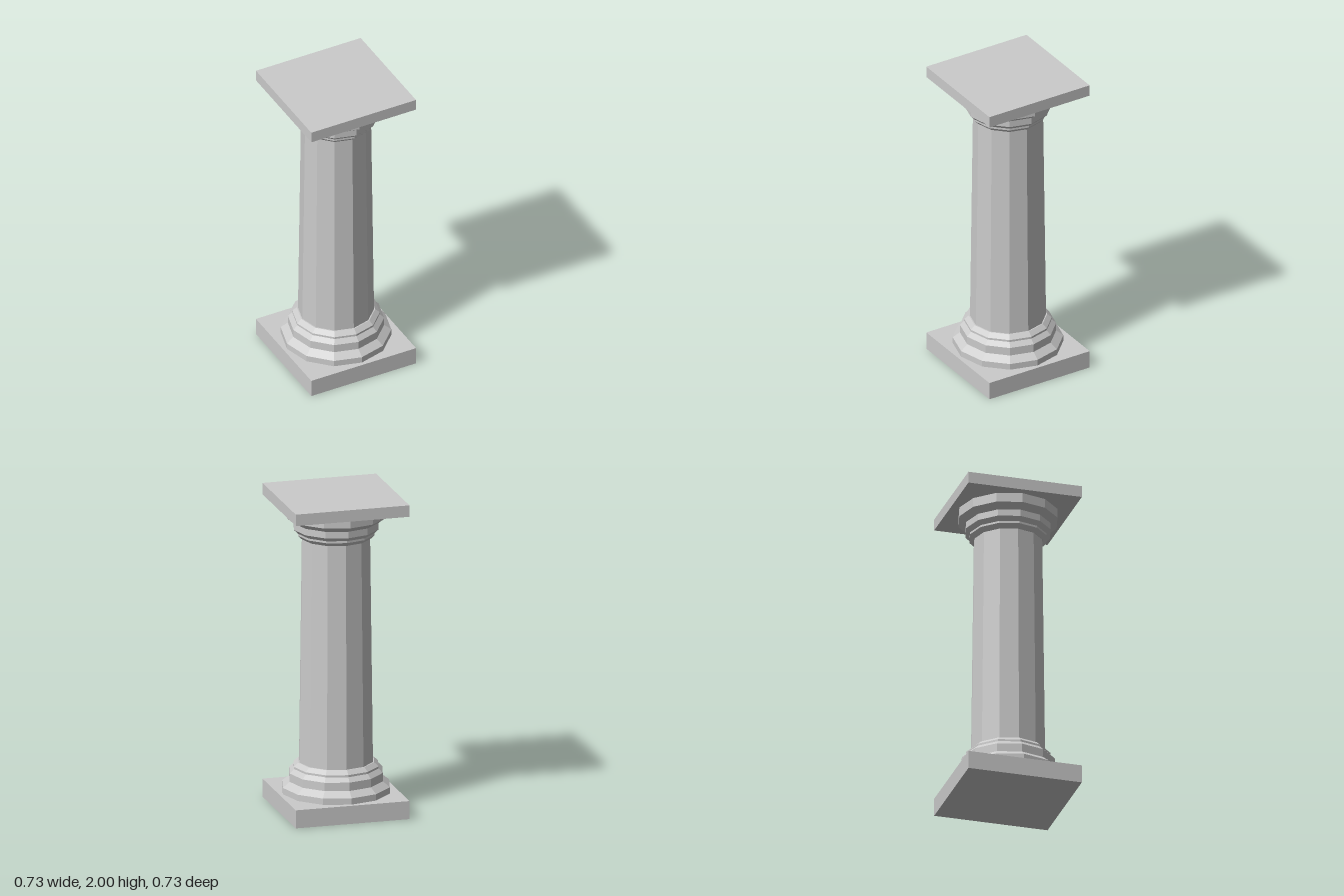
import * as THREE from 'three';

const SIDES = 12;
const WIDTH = 0.725;

export function createModel() {
  const column = new THREE.Group();
  column.name = 'column';
  const stone = new THREE.MeshStandardMaterial({ color: 0xcccccc, flatShading: true });

  const add = (name, geometry) => {
    const mesh = new THREE.Mesh(geometry, stone);
    mesh.name = name;
    column.add(mesh);
    return mesh;
  };

  // Square slab between two heights
  const slab = (name, y0, y1) => {
    add(name, new THREE.BoxGeometry(WIDTH, y1 - y0, WIDTH)).position.y = (y0 + y1) / 2;
  };

  // Twelve-sided turned part from [radius, height] pairs, bottom to top
  const turned = (name, profile) => {
    const points = profile.map(([r, y]) => new THREE.Vector2(r, y));
    add(name, new THREE.LatheGeometry(points, SIDES));
  };

  slab('plinth', 0, 0.115);

  // Stepped mouldings of the base
  turned('baseMoulding', [
    [0.339, 0.115], [0.339, 0.155], [0.295, 0.19], [0.295, 0.243],
    [0.268, 0.27], [0.268, 0.283], [0.24, 0.308], [0.225, 0.308],
  ]);

  // Gently tapered faceted shaft
  turned('shaft', [[0.233, 0.3], [0.215, 1.74]]);

  // Stepped mouldings of the capital
  turned('capital', [
    [0.205, 1.73], [0.218, 1.73], [0.243, 1.755], [0.243, 1.768],
    [0.268, 1.793], [0.268, 1.835], [0.311, 1.868], [0.311, 1.927],
  ]);

  slab('abacus', 1.927, 2);

  return column;
}
